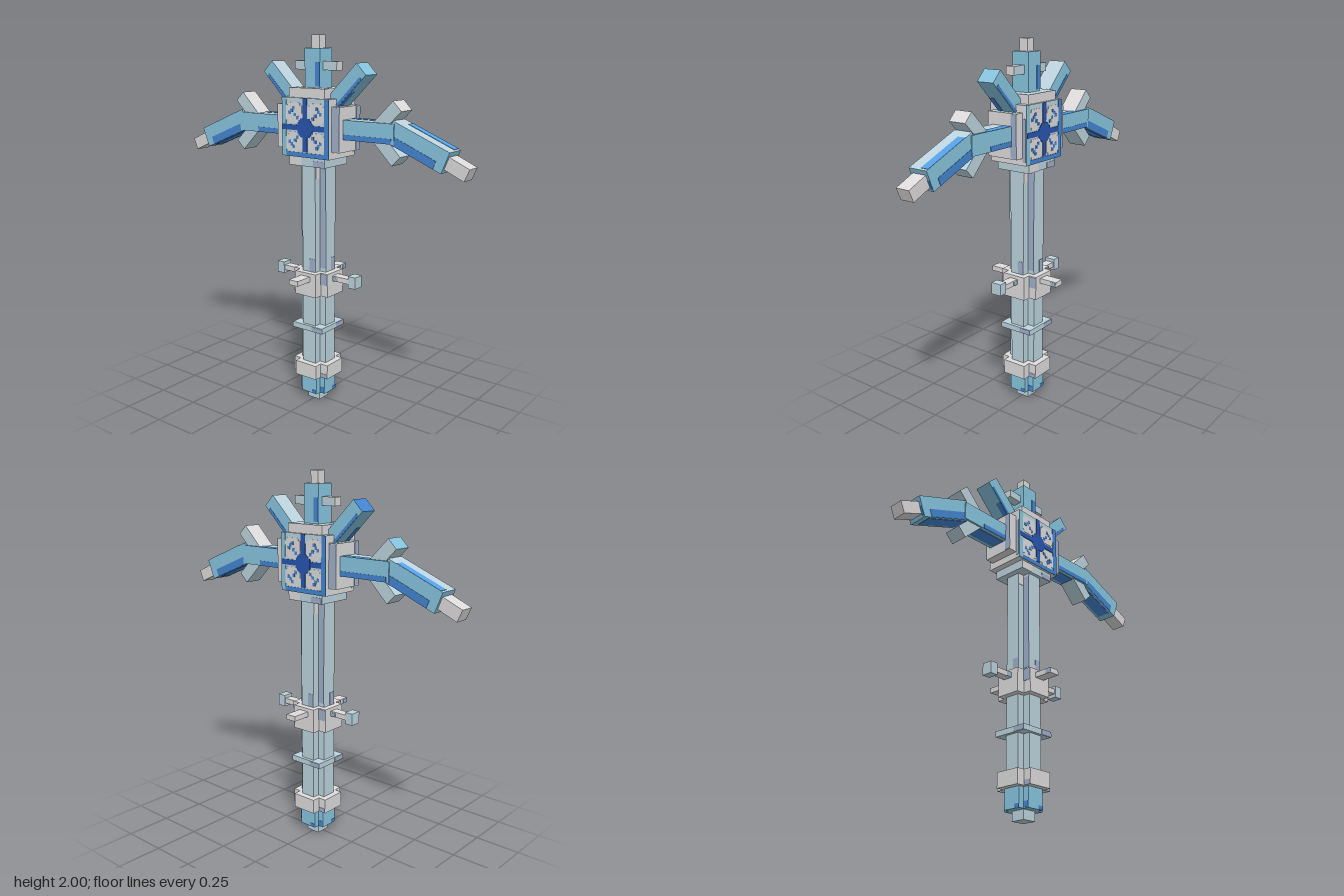
import * as THREE from 'three';

const mat = (name, color) => {
  const m = new THREE.MeshStandardMaterial({ color });
  m.name = name;
  return m;
};

export function createModel() {
  const ice = mat('pale ice grey', 0xbdd4de);
  const stone = mat('light stone', 0xdedcdc);
  const teal = mat('frost teal', 0x88c6e0);
  const blue = mat('mid blue', 0x4486d4);
  const sky = mat('bright sky blue', 0x56a2e8);
  const navy = mat('deep blue', 0x2855b0);
  const shade = mat('slate violet', 0xa0b0ca);

  const model = new THREE.Group();
  model.name = 'pickaxe';

  const box = (parent, name, m, size, pos) => {
    const mesh = new THREE.Mesh(new THREE.BoxGeometry(...size), m);
    mesh.position.set(...pos);
    mesh.name = name;
    parent.add(mesh);
    return mesh;
  };

  // Upright bar with a plus-shaped section: w = half reach, n = half width of each leg
  const plus = (name, m, w, n, y0, y1) => {
    const pts = [[w, -n], [w, n], [n, n], [n, w], [-n, w], [-n, n],
      [-w, n], [-w, -n], [-n, -n], [-n, -w], [n, -w], [n, -n]];
    const shape = new THREE.Shape(pts.map(p => new THREE.Vector2(...p)));
    const geo = new THREE.ExtrudeGeometry(shape, { depth: y1 - y0, bevelEnabled: false });
    geo.rotateX(-Math.PI / 2);
    const mesh = new THREE.Mesh(geo, m);
    mesh.position.y = y0;
    mesh.name = name;
    model.add(mesh);
  };

  // Handle, bottom to top
  box(model, 'pommelTip', ice, [0.08, 0.06, 0.08], [0, 0.03, 0]);
  plus('pommel', teal, 0.082, 0.05, 0.05, 0.16);
  plus('lowerCollar', stone, 0.115, 0.07, 0.155, 0.235);
  plus('grip', ice, 0.082, 0.042, 0.235, 0.63);
  box(model, 'gripRing', ice, [0.2, 0.03, 0.2], [0, 0.44, 0]);
  plus('guardCollar', stone, 0.115, 0.07, 0.63, 0.76);
  plus('shaft', ice, 0.082, 0.042, 0.76, 1.34);

  // Painted patches, repeated on all four sides of the handle
  for (let i = 0; i < 4; i++) {
    const side = new THREE.Group();
    side.name = 'handlePatches';
    side.rotation.y = i * Math.PI / 2;
    model.add(side);
    box(side, 'shaftShade', shade, [0.038, 0.54, 0.004], [0.062, 1.05, 0.042]);
    box(side, 'shaftFootShade', shade, [0.036, 0.07, 0.004], [0.022, 0.797, 0.082]);
    box(side, 'shaftTopStone', stone, [0.036, 0.06, 0.004], [-0.062, 1.3, 0.042]);
    box(side, 'collarShade', shade, [0.044, 0.06, 0.004], [0.092, 0.725, 0.07]);
    box(side, 'lowerCollarShade', shade, [0.04, 0.025, 0.004], [0.094, 0.168, 0.07]);
    box(side, 'ringShade', shade, [0.07, 0.026, 0.004], [0.064, 0.44, 0.1]);
    box(side, 'pommelPatch', blue, [0.03, 0.03, 0.004], [0.066, 0.07, 0.05]);
    box(side, 'pommelFacePatch', blue, [0.03, 0.018, 0.004], [0.034, 0.062, 0.082]);
  }

  // Cross guard
  box(model, 'guardBarSide', stone, [0.46, 0.028, 0.05], [0, 0.728, 0]);
  box(model, 'guardBarFront', stone, [0.06, 0.028, 0.435], [0, 0.728, 0]);
  for (const s of [-1, 1]) {
    box(model, 'guardKnob', ice, [0.047, 0.064, 0.06], [s * 0.243, 0.728, 0]);
    box(model, 'guardBarShade', shade, [0.03, 0.022, 0.054], [s * 0.133, 0.725, 0]);
    box(model, 'guardEndShade', shade, [0.004, 0.022, 0.03], [s * 0.03, 0.727, s * -0.2]);
  }

  // Head block
  box(model, 'headBase', ice, [0.23, 0.05, 0.2], [0, 1.36, 0]);
  box(model, 'headBlock', [stone, stone, ice, stone, ice, ice], [0.304, 0.305, 0.224], [0, 1.535, 0]);
  box(model, 'headCap', [stone, stone, ice, stone, stone, stone], [0.23, 0.05, 0.2], [0, 1.71, 0]);
  box(model, 'headCapStone', stone, [0.226, 0.004, 0.06], [0, 1.735, 0.068]);
  for (const s of [-1, 1]) {
    box(model, 'headSidePlate', [stone, stone, ice, stone, stone, stone], [0.05, 0.23, 0.18], [s * 0.176, 1.535, 0]);
    box(model, 'sidePlateShade', shade, [0.046, 0.22, 0.004], [s * 0.178, 1.535, s * 0.09]);
    box(model, 'sidePlateEdgeShade', shade, [0.004, 0.22, 0.035], [s * 0.201, 1.535, s * -0.072]);
    box(model, 'headBlockShade', shade, [0.004, 0.22, 0.02], [s * 0.152, 1.51, s * -0.101]);
    box(model, 'headBaseStone', stone, [0.08, 0.046, 0.004], [s * -0.074, 1.358, s * 0.1]);
    box(model, 'headBaseShade', shade, [0.07, 0.03, 0.004], [s * 0.078, 1.352, s * 0.1]);
  }

  // Snowflake panel, same on front and back
  for (const turn of [0, Math.PI]) {
    const face = new THREE.Group();
    face.name = 'snowflakePanel';
    face.position.y = 1.535;
    face.rotation.y = turn;
    model.add(face);
    const z = 0.113;
    box(face, 'leftBorder', teal, [0.028, 0.3, 0.004], [-0.138, 0, z]);
    box(face, 'rightBorder', blue, [0.028, 0.3, 0.004], [0.138, 0, z]);
    box(face, 'bottomBorder', blue, [0.25, 0.024, 0.004], [0, -0.14, z]);
    box(face, 'flakeUpright', navy, [0.028, 0.276, 0.005], [0, 0.014, z]);
    box(face, 'flakeCross', navy, [0.27, 0.028, 0.006], [-0.012, 0, z]);
    box(face, 'flakeCentre', navy, [0.096, 0.058, 0.007], [0, 0, z]);
    box(face, 'flakeCentreTall', navy, [0.058, 0.096, 0.007], [0, 0, z]);
    box(face, 'flakeCentreMiddle', navy, [0.078, 0.078, 0.007], [0, 0, z]);
    for (const sx of [-1, 1]) {
      for (const sy of [-1, 1]) {
        box(face, 'palePatch', stone, [0.104, 0.076, 0.002], [sx * 0.072, sy * 0.075, z]);
        box(face, 'palePatchTall', stone, [0.076, 0.104, 0.002], [sx * 0.072, sy * 0.075, z]);
        const dots = [[0.05, 0.05], [0.066, 0.066], [0.087, 0.087], [0.1, 0.075], [0.075, 0.1]];
        for (const [x, y] of dots) {
          box(face, 'flakeDot', blue, [0.017, 0.017, 0.005], [sx * x, sy * y, z]);
        }
      }
    }
  }

  // Top spire
  box(model, 'spire', [teal, teal, ice, teal, teal, teal], [0.1, 0.205, 0.1], [0, 1.833, 0]);
  box(model, 'spireTip', stone, [0.05, 0.07, 0.05], [0, 1.965, 0]);
  box(model, 'spireBar', [stone, stone, stone, ice, ice, ice], [0.27, 0.045, 0.05], [0, 1.848, 0]);
  for (const s of [-1, 1]) {
    box(model, 'spirePatch', blue, [0.03, 0.12, 0.004], [s * 0.033, 1.805, s * 0.05]);
  }

  // Limb running along the line a-b on side s, with own colours on the upper face and outer end
  const limb = (s, name, a, b, h, d, m, topMat = m, endMat = m) => {
    const g = new THREE.Group();
    const dx = b[0] - a[0], dy = b[1] - a[1], len = Math.hypot(dx, dy);
    g.position.set(s * (a[0] + b[0]) / 2, (a[1] + b[1]) / 2, 0);
    g.rotation.z = s * Math.atan2(dy, dx);
    g.name = name;
    model.add(g);
    box(g, name + 'Bar', [endMat, endMat, topMat, m, m, m], [len, h, d], [0, 0, 0]);
    return g;
  };
  // Blue band low on face f (front 1, back -1), from u0 to u1 along the limb
  const band = (g, s, f, u0, u1, y, h, d) =>
    box(g, 'lowerBand', blue, [u1 - u0, h, 0.004], [s * (u0 + u1) / 2, y, f * d / 2]);

  for (const s of [-1, 1]) {
    const inner = limb(s, 'innerArm', [0.19, 1.535], [0.5, 1.535], 0.1, 0.12, teal, ice);
    box(inner, 'topBand', sky, [0.28, 0.004, 0.045], [0, 0.05, -0.037]);
    box(inner, 'underBand', blue, [0.22, 0.004, 0.08], [-s * 0.03, -0.05, 0]);

    const outer = limb(s, 'outerArm', [0.47, 1.548], [0.78, 1.422], 0.112, 0.11, teal, ice);
    box(outer, 'topBand', sky, [0.27, 0.004, 0.045], [s * 0.02, 0.056, -0.032]);
    box(outer, 'underBand', blue, [0.26, 0.004, 0.08], [0, -0.056, 0]);
    box(outer, 'endPatch', blue, [0.004, 0.05, 0.015], [s * 0.167, -0.02, s * -0.046]);

    limb(s, 'armTip', [0.77, 1.424], [0.885, 1.373], 0.066, 0.08, stone);

    // Raised spike beside the spire
    const spike = limb(s, 'spike', [0.11, 1.65], [0.3, 1.838], 0.08, 0.1, teal, ice, s < 0 ? blue : teal);
    box(spike, 'underBand', blue, [0.1, 0.004, 0.03], [-s * 0.04, -0.04, 0.034]);

    for (const f of [-1, 1]) {
      band(inner, s, f, -0.14, s * f > 0 ? 0.14 : 0.02, -0.036, 0.026, 0.12);
      band(outer, s, f, -0.13, 0.12, -0.034, 0.042, 0.11);
      band(spike, s, f, -0.1, 0.1, -0.03, 0.016, 0.1);
    }

    // Small crossed fins on the arm
    limb(s, 'upperFin', [0.385, 1.545], [0.51, 1.67], 0.068, 0.1, ice, stone, s < 0 ? teal : stone);
    limb(s, 'lowerFin', [0.385, 1.527], [0.51, 1.402], 0.068, 0.1, ice);
  }

  return model;
}
